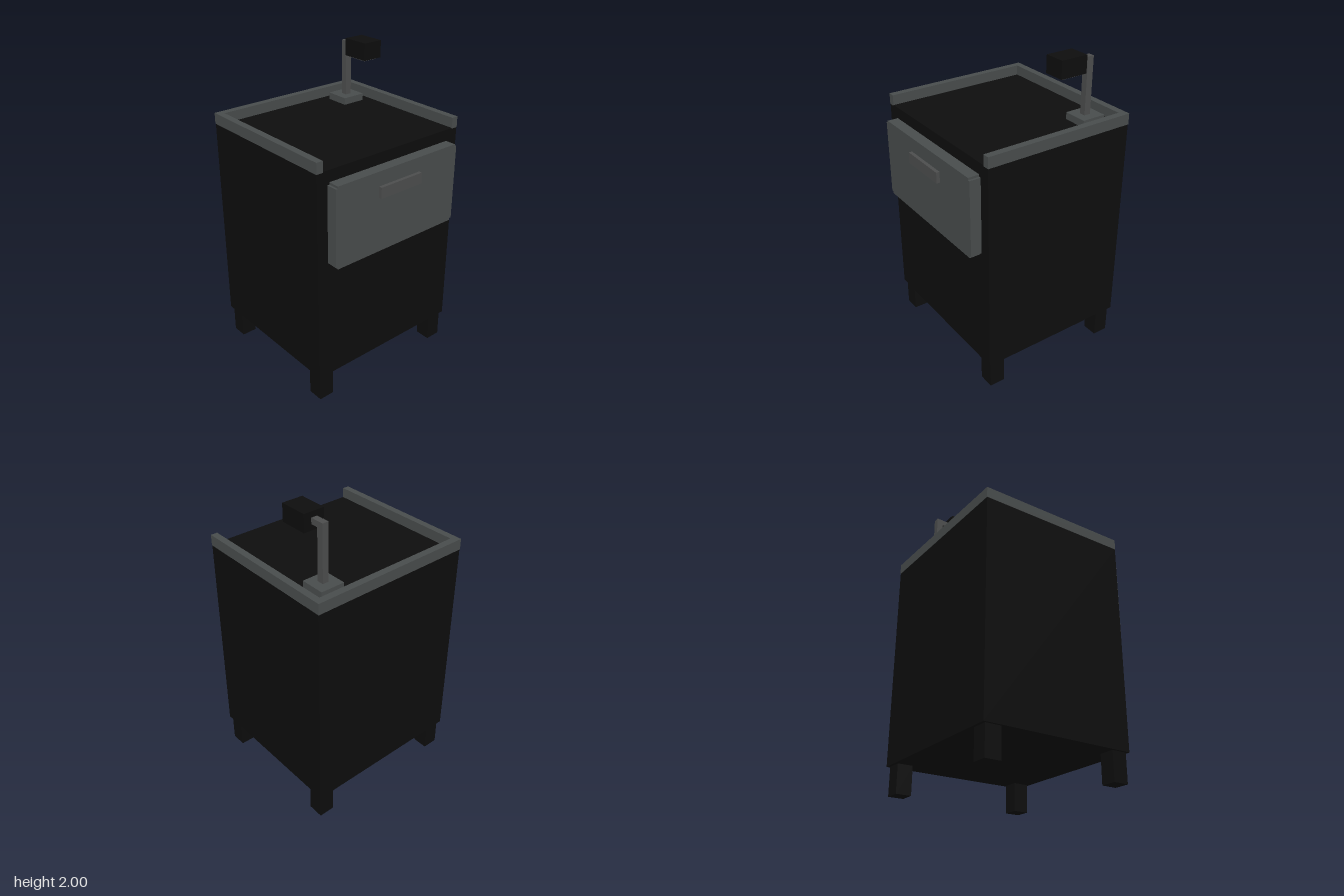
import * as THREE from 'three';

export function createModel() {
  const model = new THREE.Group();
  const mat = (name, color) => {
    const m = new THREE.MeshStandardMaterial({ color });
    m.name = name;
    return m;
  };
  const black = mat('black', 0x0d0d0d);
  const grey = mat('slate grey', 0x484c4c);
  const metal = mat('dark metal', 0x4c4d4d);

  // Box given by its extents on each axis
  const box = (name, material, [x0, x1], [y0, y1], [z0, z1], parent = model) => {
    const mesh = new THREE.Mesh(new THREE.BoxGeometry(x1 - x0, y1 - y0, z1 - z0), material);
    mesh.position.set((x0 + x1) / 2, (y0 + y1) / 2, (z0 + z1) / 2);
    mesh.name = name;
    parent.add(mesh);
    return mesh;
  };
  const group = (name) => {
    const g = new THREE.Group();
    g.name = name;
    model.add(g);
    return g;
  };

  // Cabinet body and its worktop, inset between the rails
  box('cabinetBody', black, [-0.547, 0.547], [0.185, 1.555], [-0.548, 0.456]);
  box('worktop', black, [-0.505, 0.505], [1.55, 1.56], [-0.505, 0.456]);

  // Raised rim on the sides and back, open at the front
  const rim = group('rim');
  box('backRail', grey, [-0.505, 0.505], [1.555, 1.625], [-0.55, -0.505], rim);
  for (const s of [-1, 1]) {
    const xs = s > 0 ? [0.505, 0.549] : [-0.549, -0.505];
    box(s > 0 ? 'leftRail' : 'rightRail', grey, xs, [1.555, 1.625], [-0.55, 0.457], rim);
  }

  // Four square legs
  const legs = group('legs');
  for (const x of [-0.533, 0.431]) {
    for (const z of [-0.53, 0.338]) {
      box('leg', black, [x, x + 0.102], [0, 0.187], [z, z + 0.102], legs);
    }
  }

  // Drawer front with small corner notches
  const drawer = group('drawer');
  const w = 0.475, n = 0.014, y0 = 0.97, y1 = 1.487;
  const outline = new THREE.Shape([
    [-w + n, y0], [w - n, y0], [w - n, y0 + n], [w, y0 + n],
    [w, y1 - n], [w - n, y1 - n], [w - n, y1], [-w + n, y1],
    [-w + n, y1 - n], [-w, y1 - n], [-w, y0 + n], [-w + n, y0 + n],
  ].map(([x, y]) => new THREE.Vector2(x, y)));
  const front = new THREE.Mesh(
    new THREE.ExtrudeGeometry(outline, { depth: 0.074, bevelEnabled: false }), grey);
  front.position.z = 0.454;
  front.name = 'drawerFront';
  drawer.add(front);
  box('drawerHandle', metal, [-0.16, 0.16], [1.325, 1.395], [0.525, 0.55], drawer);

  // Lamp-like fixture: base plate, post, arm, head and underside plate
  const fixture = group('fixture');
  box('fixtureBase', grey, [0.285, 0.444], [1.557, 1.605], [-0.449, -0.29], fixture);
  box('fixturePost', metal, [0.344, 0.385], [1.6, 1.966], [-0.389, -0.346], fixture);
  box('fixtureArm', metal, [0.345, 0.384], [1.928, 1.965], [-0.35, -0.29], fixture);
  box('fixtureHead', black, [0.297, 0.433], [1.89, 2], [-0.297, -0.115], fixture);
  box('headUnderside', metal, [0.315, 0.415], [1.88, 1.892], [-0.275, -0.137], fixture);

  return model;
}
